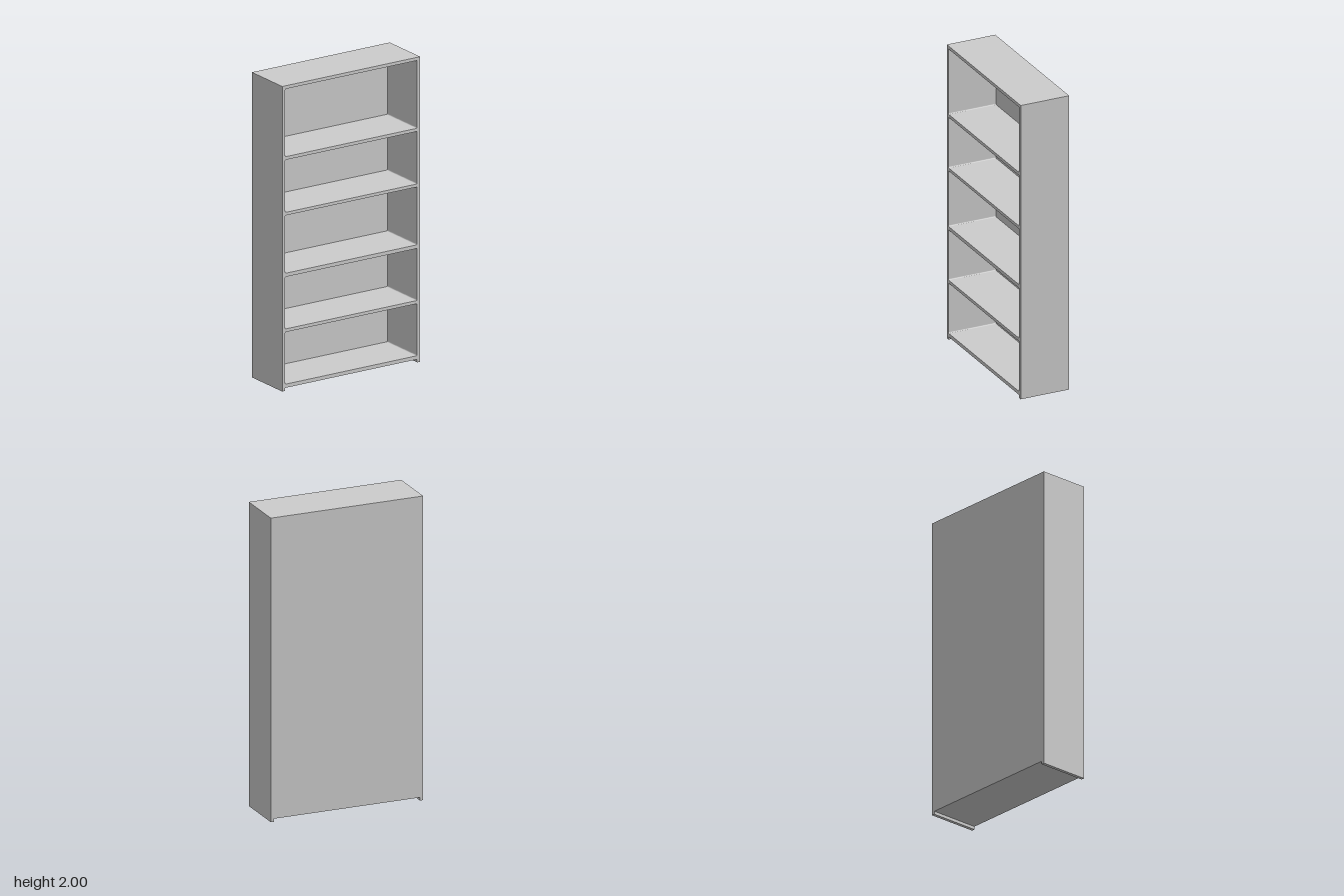
import * as THREE from 'three';

const W = 0.518, D = 0.168, H = 2;     // half width, half depth, height
const INNER = 0.496, FOOT = 0.02;      // inner half width, gap under the base
const PANEL = 0.006;                   // back panel thickness

// Rounded rectangular opening between two shelves
function opening(y0, y1, r = 0.007) {
  const p = new THREE.Path();
  p.moveTo(-INNER + r, y0);
  p.lineTo(INNER - r, y0);
  p.absarc(INNER - r, y0 + r, r, -Math.PI / 2, 0, false);
  p.absarc(INNER - r, y1 - r, r, 0, Math.PI / 2, false);
  p.absarc(-INNER + r, y1 - r, r, Math.PI / 2, Math.PI, false);
  p.absarc(-INNER + r, y0 + r, r, Math.PI, Math.PI * 1.5, false);
  p.closePath();
  return p;
}

export function createModel() {
  const group = new THREE.Group();
  group.name = 'bookcase';
  const material = new THREE.MeshStandardMaterial({ color: 0xcccccc });

  // Sides, top and shelves as one frame, with a notch between the feet
  const outline = new THREE.Shape([
    [-W, 0], [-INNER, 0], [-INNER, FOOT], [INNER, FOOT],
    [INNER, 0], [W, 0], [W, H], [-W, H],
  ].map(([x, y]) => new THREE.Vector2(x, y)));
  const bays = [[0.044, 0.385], [0.406, 0.747], [0.771, 1.15], [1.17, 1.514], [1.535, 1.979]];
  for (const [y0, y1] of bays) outline.holes.push(opening(y0, y1));
  const frameGeometry = new THREE.ExtrudeGeometry(outline, {
    depth: 2 * D - PANEL, bevelEnabled: false, curveSegments: 4,
  });
  frameGeometry.translate(0, 0, -D + PANEL);
  const frame = new THREE.Mesh(frameGeometry, material);
  frame.name = 'shelfFrame';
  group.add(frame);

  // Thin back panel, with the feet continuing to the floor at its ends
  const panel = new THREE.Mesh(new THREE.BoxGeometry(2 * W, H - FOOT, PANEL), material);
  panel.name = 'backPanel';
  panel.position.set(0, (H + FOOT) / 2, -D + PANEL / 2);
  group.add(panel);
  for (const side of [-1, 1]) {
    const foot = new THREE.Mesh(new THREE.BoxGeometry(W - INNER, FOOT, PANEL), material);
    foot.name = side > 0 ? 'leftBackFoot' : 'rightBackFoot';
    foot.position.set(side * (W + INNER) / 2, FOOT / 2, -D + PANEL / 2);
    group.add(foot);
  }
  return group;
}
